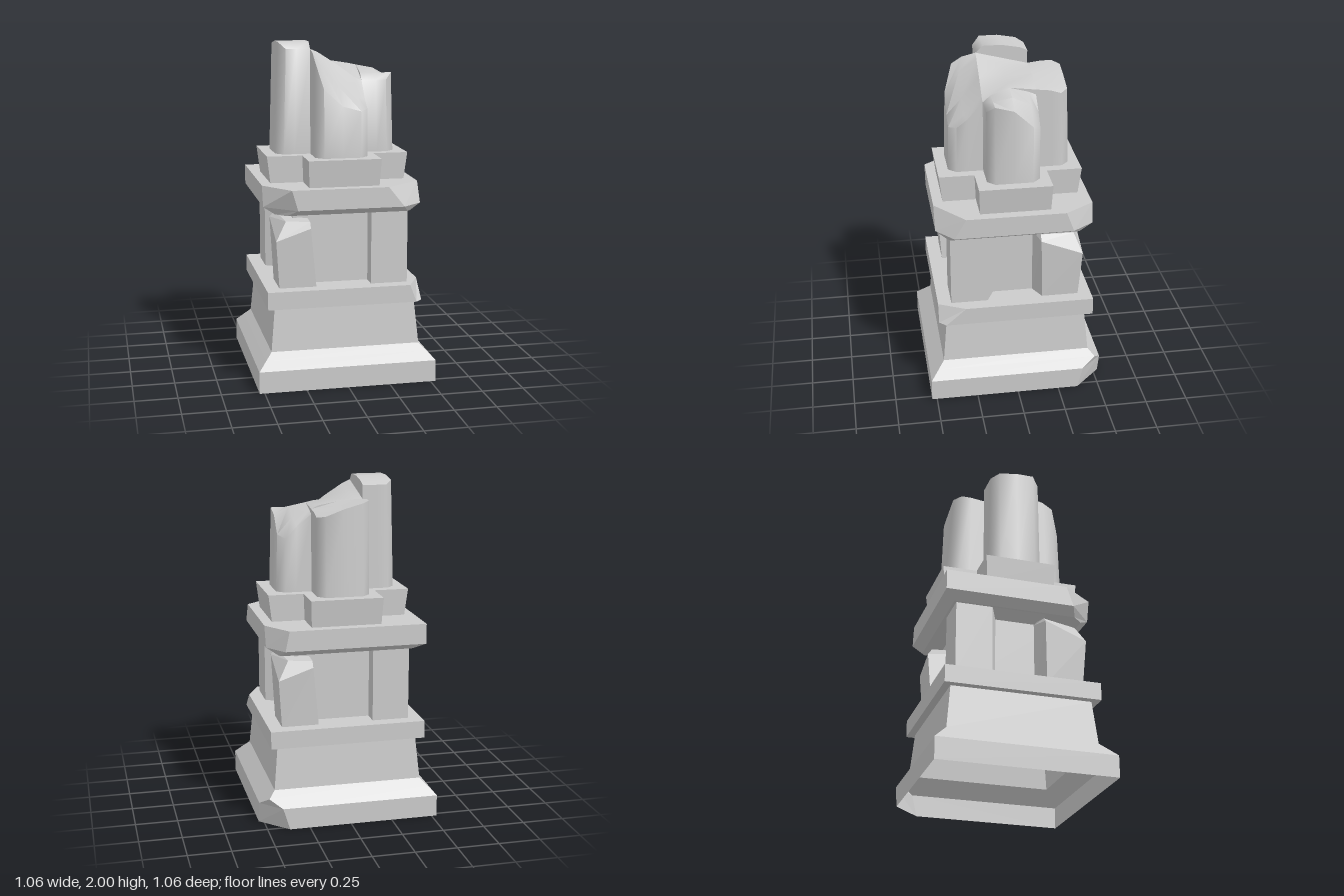
import * as THREE from 'three';
import { toCreasedNormals } from 'three/addons/utils/BufferGeometryUtils.js';

const CORNERS = [[1, 1], [1, -1], [-1, -1], [-1, 1]];
const flat = new THREE.MeshStandardMaterial({ color: 0xcccccc, flatShading: true });
const openFlat = new THREE.MeshStandardMaterial({ color: 0xcccccc, flatShading: true, side: THREE.DoubleSide });
const smooth = new THREE.MeshStandardMaterial({ color: 0xcccccc });

function fromTriangles(tris) {
  const g = new THREE.BufferGeometry();
  g.setAttribute('position', new THREE.Float32BufferAttribute(tris.flat(2), 3));
  g.computeVertexNormals();
  return g;
}

// Add a triangle unless it has collapsed
function tri(out, a, b, c) {
  const v = [a, b, c].map((p) => new THREE.Vector3(...p));
  if (v[1].sub(v[0]).cross(v[2].sub(v[0])).lengthSq() > 1e-12) out.push([a, b, c]);
}
function quad(out, a, b, c, d) {
  tri(out, a, b, c);
  tri(out, a, c, d);
}

// Skin a stack of rings, each counter-clockwise seen from above
function loft(rings, bottom = true, top = true) {
  const out = [];
  const n = rings[0].length;
  const mid = (r) => [0, 1, 2].map((k) => r.reduce((s, p) => s + p[k], 0) / n);
  const last = rings[rings.length - 1];
  for (let i = 0; i < n; i++) {
    const j = (i + 1) % n;
    for (let k = 0; k + 1 < rings.length; k++) {
      quad(out, rings[k][i], rings[k][j], rings[k + 1][j], rings[k + 1][i]);
    }
    if (top) tri(out, mid(last), last[i], last[j]);
    if (bottom) tri(out, mid(rings[0]), rings[0][j], rings[0][i]);
  }
  return fromTriangles(out);
}

// Square ring; cuts[i] = [along x, along z] chips corner i
function ring(y, h, cuts = {}) {
  return CORNERS.flatMap(([sx, sz], i) => {
    const [cx, cz] = cuts[i] || [0, 0];
    const pts = [[sx * (h - cx), y, sz * h], [sx * h, y, sz * (h - cz)]];
    return sx * sz > 0 ? pts : pts.reverse();
  });
}

// Cross-shaped ring with arm reach r and half width w
function crossRing(y, r, w) {
  const pts = [];
  for (let q = 0; q < 4; q++) {
    const c = Math.round(Math.cos(q * Math.PI / 2)), s = Math.round(Math.sin(q * Math.PI / 2));
    for (const [x, z] of [[-w, r], [w, r], [w, w]]) pts.push([x * c + z * s, y, -x * s + z * c]);
  }
  return pts;
}

// Block with a broken top: heights[u][v] over a grid of columns
const FLOOR = 1.34;
const ACROSS = [-0.155, -0.11, 0, 0.11, 0.155];
function brokenBlock(heights, alongOf) {
  const out = [];
  const top = [], base = [];
  heights.forEach((row, i) => {
    const along = alongOf(i);
    base.push(along.map((v) => [ACROSS[i], FLOOR, v]));
    top.push(along.map((v, k) => {
      const lean = v > 0.2 ? 1 - 0.085 * (row[k] - FLOOR) : 1;
      return [ACROSS[i], row[k], v * lean];
    }));
  });
  const m = top[0].length - 1, n = top.length - 1;
  for (let i = 0; i < n; i++) {
    for (let k = 0; k < m; k++) quad(out, top[i][k], top[i][k + 1], top[i + 1][k + 1], top[i + 1][k]);
    quad(out, base[i][m], base[i + 1][m], top[i + 1][m], top[i][m]);
    quad(out, base[i + 1][0], base[i][0], top[i][0], top[i + 1][0]);
  }
  for (let k = 0; k < m; k++) {
    quad(out, base[0][k], base[0][k + 1], top[0][k + 1], top[0][k]);
    quad(out, base[n][k + 1], base[n][k], top[n][k], top[n][k + 1]);
  }
  return toCreasedNormals(fromTriangles(out), 0.85);
}

export function createModel() {
  const group = new THREE.Group();
  const add = (name, geometry, material = flat, turn = 0) => {
    const mesh = new THREE.Mesh(geometry, material);
    mesh.name = name;
    mesh.rotation.y = turn;
    group.add(mesh);
  };

  // Hollow stepped base with one chipped corner
  add('base', loft([
    ring(0, 0.53, { 1: [0.16, 0.16] }),
    ring(0.13, 0.53, { 1: [0.12, 0.13] }),
    ring(0.18, 0.483),
    ring(0.22, 0.445),
    ring(0.48, 0.42),
  ], false, false), openFlat);

  add('lowerSlab', loft([
    ring(0.48, 0.465, { 0: [0.04, 0.04] }),
    ring(0.585, 0.465, { 0: [0.08, 0.16] }),
  ]));

  // Recessed core between the corner piers
  const core = new THREE.BoxGeometry(0.58, 0.435, 0.58);
  core.translate(0, 0.8025, 0);
  add('core', core);

  // Sloped heads over the side niches
  const head = (y, x, w) => [[0.28, y, w], [x, y, w], [x, y, -w], [0.28, y, -w]];
  const nicheHead = loft([head(0.99, 0.29, 0.12), head(1.02, 0.385, 0.165)]);

  // Whole pier and broken, outward-leaning pier
  const plan = [[0.165, 0.385], [0.385, 0.385], [0.385, 0.165], [0.29, 0.12], [0.165, 0.12]];
  const pier = loft([0.585, 1.02].map((y) => plan.map(([x, z]) => [x, y, z])));
  // Local +x faces the splayed niche once the pier is mirrored into place
  const leanPlan = [[0.2, 0.405], [0.405, 0.405], [0.405, 0.155], [0.29, 0.12], [0.2, 0.12]];
  const edgeY = [0.94, 0.87, 0.97, 0.985, 0.98];
  const crownPlan = [[0.2, 0.38], [0.34, 0.36], [0.37, 0.155], [0.29, 0.12], [0.2, 0.12]];
  const crownY = [0.975, 0.98, 1.0, 1.0, 0.99];
  const mirror = (pts, ys) => pts.map(([x, z], i) => [-x, ys[i], z]).reverse();
  const brokenPier = loft([
    mirror(plan, plan.map(() => 0.585)),
    mirror(leanPlan, edgeY),
    mirror(crownPlan, crownY),
  ]);
  for (const turn of [0, Math.PI]) {
    add('nicheHead', nicheHead, flat, turn);
    add('pier', pier, flat, turn);
    add('brokenPier', brokenPier, flat, turn);
  }

  // Capping slab with a bevelled underside and three broken corners
  add('upperSlab', loft([
    ring(1.02, 0.4, { 0: [0.02, 0.02], 1: [0.02, 0.02], 3: [0.06, 0.06] }),
    ring(1.06, 0.465, { 0: [0.12, 0.1], 1: [0.09, 0.13], 3: [0.18, 0.155] }),
    ring(1.18, 0.465, { 0: [0.215, 0.17], 1: [0.115, 0.175], 3: [0.145, 0.195] }),
  ]));

  add('crossPlinth', loft([crossRing(1.18, 0.405, 0.208), crossRing(1.34, 0.425, 0.215)]));

  // Broken column: centre and four arms with chamfered ends
  add('columnCentre', brokenBlock([
    [1.88, 1.92, 1.96], [1.88, 1.9, 1.94], [1.87, 1.87, 1.87], [1.85, 1.86, 1.79], [1.83, 1.85, 1.77],
  ], () => [-0.155, 0, 0.155]), smooth);
  const armReach = (i) => (i % 4 === 0 ? [0.155, 0.25, 0.315] : [0.155, 0.27, 0.36]);
  const arms = {
    frontArm: [0, [[1.96, 1.94, 1.9], [1.94, 1.87, 1.74], [1.87, 1.74, 1.64], [1.79, 1.68, 1.61], [1.77, 1.67, 1.62]]],
    leftArm: [1, [[1.77, 1.77, 1.77], [1.81, 1.81, 1.81], [1.85, 1.83, 1.78], [1.82, 1.78, 1.68], [1.8, 1.73, 1.66]]],
    backArm: [2, [[1.83, 1.82, 1.8], [1.84, 1.83, 1.81], [1.87, 1.86, 1.85], [1.88, 1.88, 1.88], [1.88, 1.89, 1.89]]],
    rightArm: [3, [[1.96, 1.96, 1.96], [1.98, 1.98, 1.98], [2, 2, 2], [2, 2, 2], [1.96, 1.96, 1.96]]],
  };
  for (const [name, [quarter, heights]] of Object.entries(arms)) {
    add(name, brokenBlock(heights, armReach), smooth, quarter * Math.PI / 2);
  }
  return group;
}
